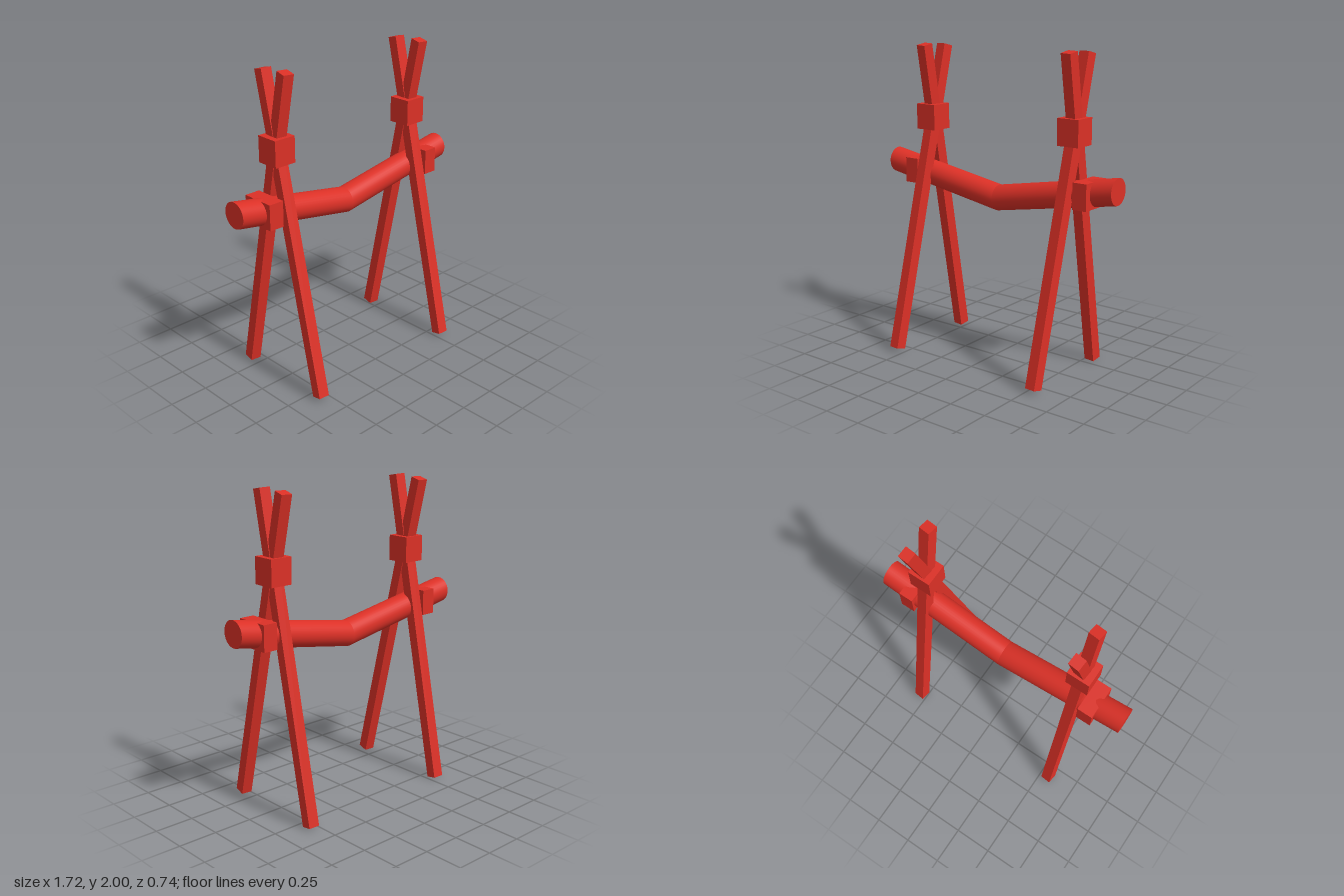
import * as THREE from 'three';

export function createModel() {
  const model = new THREE.Group();
  model.name = 'logOnTrestles';
  const red = new THREE.MeshStandardMaterial({ color: 0xdb3026 });
  red.name = 'red paint';

  const add = (parent, name, geometry, x = 0, y = 0, z = 0) => {
    const mesh = new THREE.Mesh(geometry, red);
    mesh.name = name;
    mesh.position.set(x, y, z);
    parent.add(mesh);
    return mesh;
  };

  // Square pole between two points, turned slightly about its own length
  const addPole = (parent, name, from, to) => {
    const up = to.clone().sub(from);
    const length = up.length();
    up.normalize();
    const side = new THREE.Vector3(1, 0, 0.1).addScaledVector(up, -up.x - 0.1 * up.z).normalize();
    const front = side.clone().cross(up);
    const mesh = add(parent, name, new THREE.BoxGeometry(0.07, length, 0.07));
    mesh.quaternion.setFromRotationMatrix(new THREE.Matrix4().makeBasis(side, up, front));
    mesh.position.copy(from).add(to).multiplyScalar(0.5);
  };

  // Two crossed-pole trestles, each bound by a square tie
  for (const [name, x] of [['rightTrestle', -0.544], ['leftTrestle', 0.553]]) {
    const trestle = new THREE.Group();
    trestle.name = name;
    trestle.position.x = x;
    addPole(trestle, 'frontPole', new THREE.Vector3(-0.013, 0.025, 0.333), new THREE.Vector3(0.013, 1.984, -0.152));
    addPole(trestle, 'backPole', new THREE.Vector3(-0.013, 0.012, -0.33), new THREE.Vector3(0.013, 1.994, 0.046));
    add(trestle, 'tie', new THREE.BoxGeometry(0.147, 0.165, 0.149), 0.005, 1.527, -0.038);
    model.add(trestle);
  }

  // Bent log: two cylinders sheared upward towards vertical ends
  const half = 0.861, rise = 0.151;
  for (const side of [-1, 1]) {
    const geometry = new THREE.CylinderGeometry(0.083, 0.083, half, 32);
    geometry.rotateZ(Math.PI / 2);
    geometry.applyMatrix4(new THREE.Matrix4().set(
      1, 0, 0, 0,
      side * rise / half, 1, 0, 0,
      0, 0, 1, 0,
      0, 0, 0, 1));
    add(model, side < 0 ? 'rightLogHalf' : 'leftLogHalf', geometry, side * half / 2, 1.052 + rise / 2, -0.045);
  }

  // Stop blocks around the log, outside the trestles
  add(model, 'rightStopBlock', new THREE.BoxGeometry(0.1, 0.163, 0.22), -0.641, 1.168, -0.044);
  add(model, 'leftStopBlock', new THREE.BoxGeometry(0.095, 0.163, 0.223), 0.672, 1.168, -0.034);

  return model;
}
